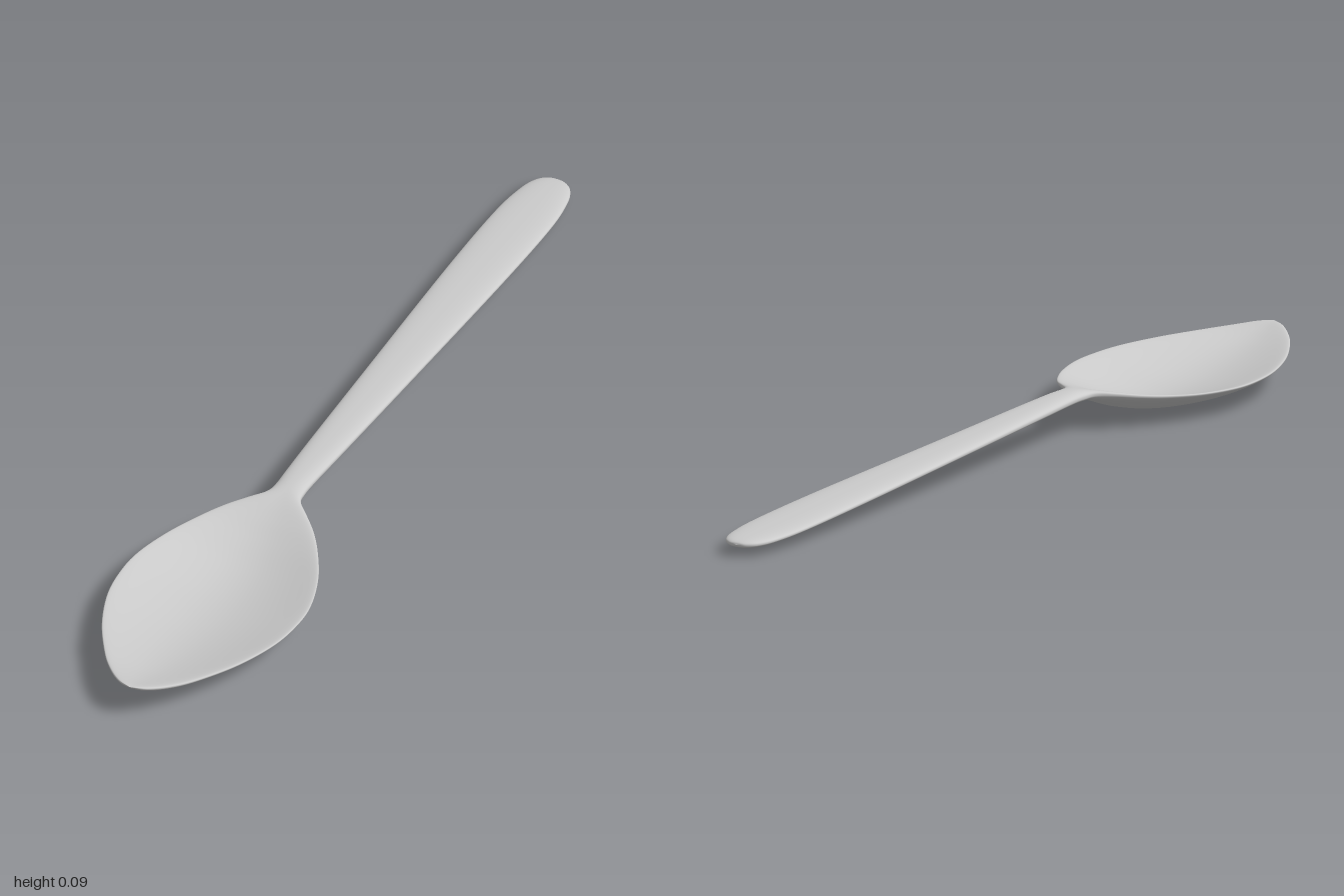
import * as THREE from 'three';

// Cross-sections along the spoon: [z, half width, centre height, edge height, half thickness]
const handleEnd = [
  [-1, 0, 0.025, 0.025, 0],
  [-0.995, 0.022, 0.025, 0.025, 0.006],
  [-0.975, 0.042, 0.026, 0.026, 0.009],
  [-0.93, 0.056, 0.028, 0.028, 0.01],
  [-0.83, 0.065, 0.033, 0.033, 0.01],
  [-0.6, 0.063, 0.044, 0.044, 0.011],
  [-0.2, 0.05, 0.062, 0.062, 0.011],
  [0.08, 0.04, 0.075, 0.075, 0.012],
  [0.2, 0.035, 0.081, 0.08, 0.012],
  [0.25, 0.034, 0.081, 0.08, 0.012],
];
const bowlEnd = [
  [0.28, 0.04, 0.077, 0.08, 0.012],
  [0.31, 0.068, 0.069, 0.077, 0.012],
  [0.35, 0.105, 0.055, 0.071, 0.012],
  [0.4, 0.139, 0.037, 0.065, 0.012],
  [0.47, 0.175, 0.019, 0.06, 0.011],
  [0.55, 0.2, 0.011, 0.058, 0.011],
  [0.62, 0.206, 0.0125, 0.058, 0.011],
  [0.71, 0.195, 0.018, 0.06, 0.011],
  [0.81, 0.159, 0.031, 0.063, 0.011],
  [0.9, 0.108, 0.048, 0.067, 0.01],
  [0.95, 0.07, 0.061, 0.071, 0.009],
  [0.985, 0.033, 0.074, 0.077, 0.006],
  [1, 0, 0.082, 0.082, 0],
];

const STEPS = 6;   // rings between two sections
const SIDES = 64;  // points round a ring

export function createModel() {
  const stations = [...handleEnd, ...bowlEnd];
  const curve = (a, b) => new THREE.CatmullRomCurve3(
    stations.map((s) => new THREE.Vector3(s[a], s[b], s[0])), false, 'catmullrom', 0.5);
  const outline = curve(1, 3);
  const core = curve(2, 4);
  const rings = (stations.length - 1) * STEPS;
  const soften = (v, p) => Math.sign(v) * Math.abs(v) ** p;

  // Rounded flat rings, dished from the centre height up to the edge height
  const positions = [];
  for (let i = 0; i <= rings; i++) {
    const { x: width, y: edge, z } = outline.getPoint(i / rings);
    const { x: centre, y: thick } = core.getPoint(i / rings);
    for (let j = 0; j < SIDES; j++) {
      const angle = (j / SIDES) * Math.PI * 2;
      const u = soften(Math.cos(angle), 0.8);
      const y = centre + (edge - centre) * Math.abs(u) ** 1.8
        + thick * soften(Math.sin(angle), 0.8);
      positions.push(width * u, y, z);
    }
  }

  const skin = (from, to) => {
    const index = [];
    for (let i = from; i < to; i++) {
      for (let j = 0; j < SIDES; j++) {
        const a = i * SIDES + j;
        const b = i * SIDES + ((j + 1) % SIDES);
        index.push(a, b, b + SIDES, a, b + SIDES, a + SIDES);
      }
    }
    return index;
  };

  // Normals are worked out on the whole surface so the join stays smooth
  const whole = new THREE.BufferGeometry();
  whole.setAttribute('position', new THREE.Float32BufferAttribute(positions, 3));
  whole.setIndex(skin(0, rings));
  whole.computeVertexNormals();

  const material = new THREE.MeshStandardMaterial({ color: 0xcccccc });
  const spoon = new THREE.Group();
  spoon.name = 'spoon';
  const join = (handleEnd.length - 1) * STEPS;
  for (const [name, from, to] of [['handle', 0, join], ['bowl', join, rings]]) {
    const geometry = whole.clone();
    geometry.setIndex(skin(from, to));
    const mesh = new THREE.Mesh(geometry, material);
    mesh.name = name;
    spoon.add(mesh);
  }
  return spoon;
}
